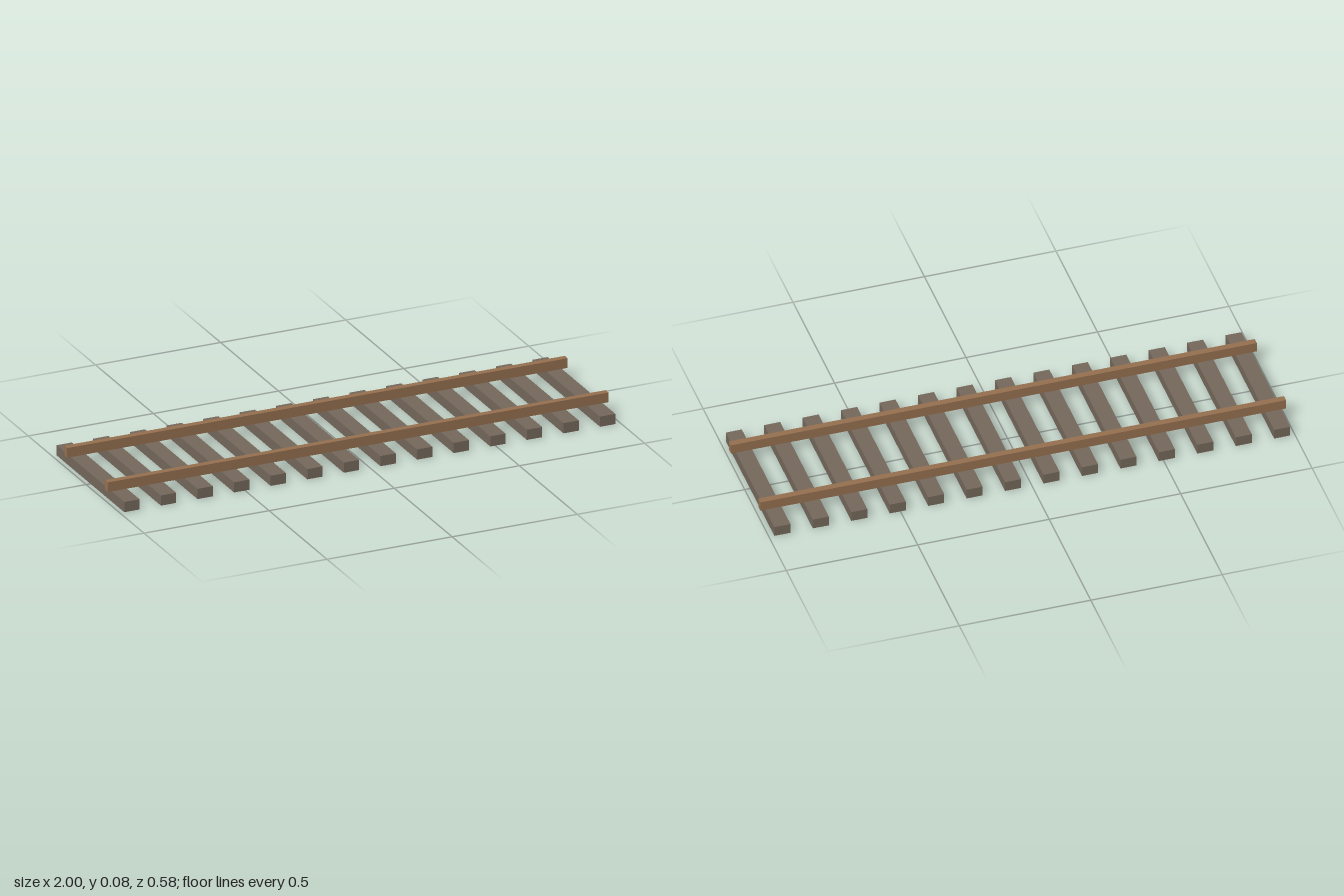
import * as THREE from 'three';

export function createModel() {
  const group = new THREE.Group();
  const tieWood = new THREE.MeshStandardMaterial({ color: 0x75685b });
  tieWood.name = 'weathered wood';
  const railMetal = new THREE.MeshStandardMaterial({ color: 0x967050 });
  railMetal.name = 'rusty brown';

  // Evenly spaced cross ties
  const tieCount = 14, firstX = -0.952, lastX = 0.949;
  const tieGeometry = new THREE.BoxGeometry(0.061, 0.04, 0.585);
  for (let i = 0; i < tieCount; i++) {
    const tie = new THREE.Mesh(tieGeometry, tieWood);
    tie.name = `tie${i + 1}`;
    tie.position.set(firstX + (lastX - firstX) * i / (tieCount - 1), 0.02, 0);
    group.add(tie);
  }

  // Two parallel rails, resting just above the ties
  const railGeometry = new THREE.BoxGeometry(2, 0.038, 0.025);
  for (const [name, z] of [['frontRail', 0.177], ['backRail', -0.176]]) {
    const rail = new THREE.Mesh(railGeometry, railMetal);
    rail.name = name;
    rail.position.set(0, 0.062, z);
    group.add(rail);
  }
  return group;
}
